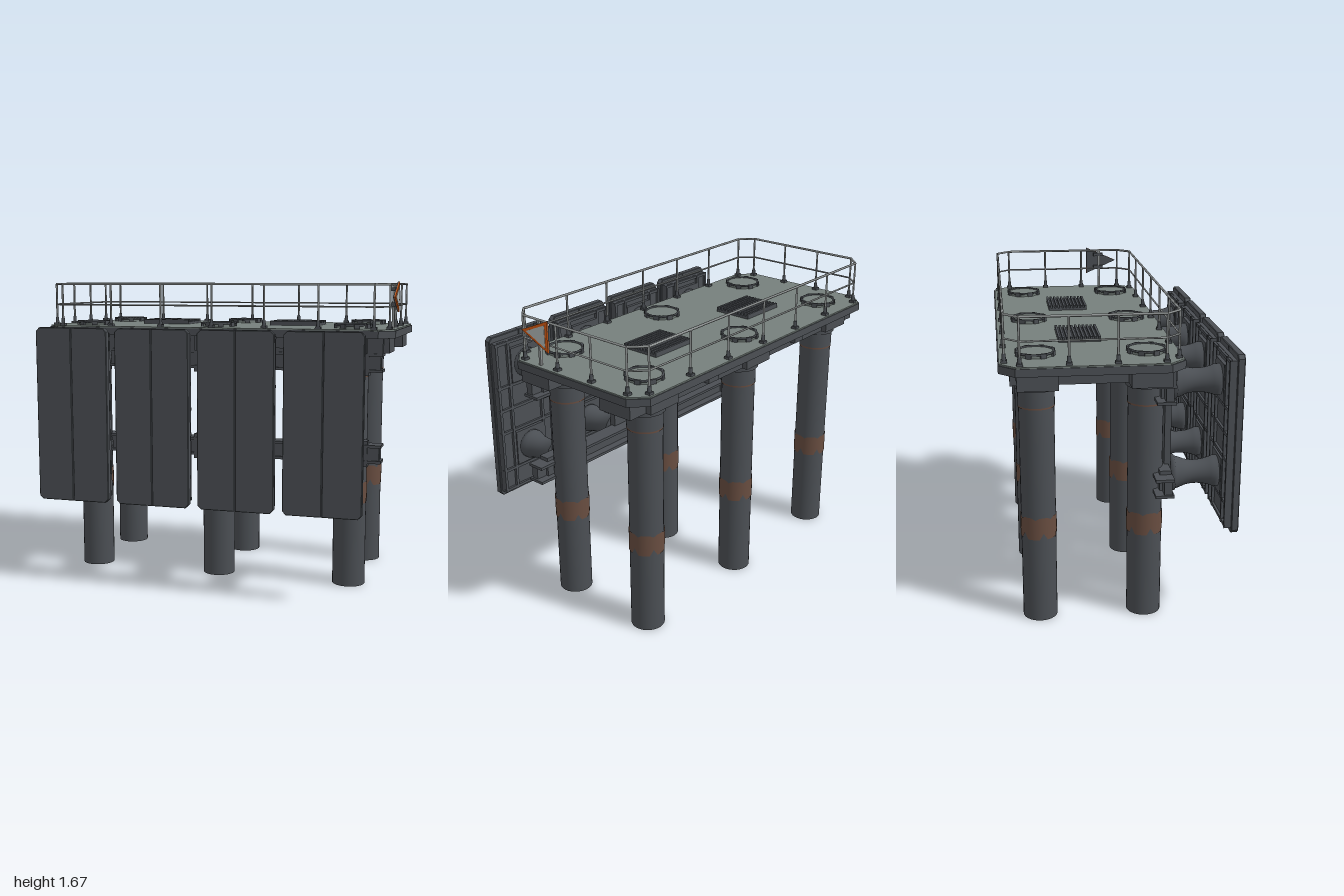
import * as THREE from 'three';

const mat = (name, color, side = THREE.FrontSide) => {
  const m = new THREE.MeshStandardMaterial({ color, side });
  m.name = name;
  return m;
};

export function createModel() {
  const steel = mat('dark steel', 0x4b4f54);
  const deckGreen = mat('deck grey green', 0x76807c);
  const railGrey = mat('rail grey', 0x909494);
  const rust = mat('rust brown', 0x684d40, THREE.DoubleSide);
  const orange = mat('sign orange', 0xd95c14);
  const pale = mat('sign pale grey', 0xb4bab9);

  const root = new THREE.Group();
  root.name = 'mooringPlatform';
  const group = (name, parent = root) => {
    const g = new THREE.Group();
    g.name = name;
    parent.add(g);
    return g;
  };
  const add = (parent, name, geo, material, x = 0, y = 0, z = 0) => {
    const m = new THREE.Mesh(geo, material);
    m.name = name;
    m.position.set(x, y, z);
    parent.add(m);
    return m;
  };
  // Box given by its limits
  const box = (parent, name, material, x0, x1, y0, y1, z0, z1) =>
    add(parent, name, new THREE.BoxGeometry(x1 - x0, y1 - y0, z1 - z0), material,
      (x0 + x1) / 2, (y0 + y1) / 2, (z0 + z1) / 2);
  // Round bar between two points
  const bar = (parent, name, a, b, r, material) => {
    const d = b.clone().sub(a);
    const m = add(parent, name, new THREE.CylinderGeometry(r, r, d.length(), 6), material);
    m.position.copy(a).addScaledVector(d, 0.5);
    m.quaternion.setFromUnitVectors(new THREE.Vector3(0, 1, 0), d.normalize());
  };
  // Rectangle with cut corners, as [x, z] points
  const octagon = (x, z0, z1, c) => [
    [x, z0 + c], [x, z1 - c], [x - c, z1], [-x + c, z1],
    [-x, z1 - c], [-x, z0 + c], [-x + c, z0], [x - c, z0]];
  const slab = (name, pts, y, h, materials) => {
    const s = new THREE.Shape(pts.map(([x, z]) => new THREE.Vector2(x, -z)));
    const geo = new THREE.ExtrudeGeometry(s, { depth: h, bevelEnabled: false });
    geo.rotateX(-Math.PI / 2);
    add(root, name, geo, materials, 0, y, 0);
  };

  // Deck: dark slab with a painted top
  slab('deckSlab', octagon(1, -0.605, 0.3, 0.08), 1.37, 0.04, steel);
  slab('deckSurface', octagon(0.995, -0.6, 0.295, 0.08), 1.41, 0.007, deckGreen);

  // Beams under the deck
  const pileX = [-0.757, 0, 0.757], pileZ = [0.13, -0.42];
  const beams = group('underDeckBeams');
  for (const z of pileZ) box(beams, 'longBeam', steel, -0.97, 0.97, 1.29, 1.37, z - 0.1, z + 0.1);
  for (const x of pileX) box(beams, 'crossBeam', steel, x - 0.1, x + 0.1, 1.288, 1.372, -0.55, 0.27);
  for (const x of [-0.38, 0.38]) box(beams, 'minorBeam', steel, x - 0.04, x + 0.04, 1.31, 1.372, -0.55, 0.27);

  // Piles with collars, rusty bands and deck hatches
  for (const x of pileX) for (const z of pileZ) {
    const p = group('pile');
    p.position.set(x, 0, z);
    add(p, 'pileShaft', new THREE.CylinderGeometry(0.09, 0.09, 1.3, 28), steel, 0, 0.65, 0);
    add(p, 'pileSleeve', new THREE.CylinderGeometry(0.093, 0.093, 0.14, 28), steel, 0, 1.23, 0);
    add(p, 'pileCollar', new THREE.CylinderGeometry(0.104, 0.104, 0.04, 12), steel, 0, 1.27, 0);
    add(p, 'sleeveRust', new THREE.CylinderGeometry(0.0935, 0.0935, 0.008, 28, 1, true), rust, 0, 1.162, 0);
    const band = new THREE.CylinderGeometry(0.0935, 0.0935, 0.115, 28, 1, true);
    const pos = band.attributes.position;
    for (let i = 0; i < pos.count; i++) {
      const k = i % 29 % 28;
      if (pos.getY(i) > 0) pos.setY(i, 0.062 - 0.012 * (k % 4 === 0));
      else pos.setY(i, -0.058 + 0.035 * (k % 5 === 2));
    }
    add(p, 'rustBand', band, rust, 0, 0.52, 0);
    // Hatch over the pile head
    add(p, 'hatchLid', new THREE.CylinderGeometry(0.09, 0.09, 0.018, 28), deckGreen, 0, 1.425, 0);
    const ring = add(p, 'hatchRing', new THREE.TorusGeometry(0.093, 0.006, 6, 28), steel, 0, 1.436, 0);
    ring.rotation.x = Math.PI / 2;
    for (let i = 0; i < 8; i++) {
      const a = (i + 0.5) * Math.PI / 4;
      const clip = add(p, 'hatchClip', new THREE.BoxGeometry(0.012, 0.024, 0.03), steel,
        0.095 * Math.cos(a), 1.43, 0.095 * Math.sin(a));
      clip.rotation.y = -a;
    }
  }

  // Slatted deck gratings
  for (const x of [-0.39, 0.385]) {
    const g = group('grating');
    box(g, 'gratingBase', steel, x - 0.14, x + 0.14, 1.415, 1.43, -0.29, -0.07);
    for (let i = 0; i < 11; i++)
      box(g, 'gratingSlat', steel, x - 0.14, x + 0.14, 1.43, 1.443, -0.29 + i * 0.0208, -0.278 + i * 0.0208);
  }

  // Guard rail around the deck edge
  const rail = group('guardRail');
  const line = octagon(0.965, -0.575, 0.27, 0.072);
  line.forEach(([x, z], i) => {
    const [x2, z2] = line[(i + 1) % 8];
    for (const [y, r] of [[1.652, 0.0065], [1.535, 0.005]])
      bar(rail, 'railBar', new THREE.Vector3(x, y, z), new THREE.Vector3(x2, y, z2), r, railGrey);
    const n = i % 2 ? 1 : i % 4 === 0 ? 3 : 6;
    for (let k = 0; k < n; k++) {
      const px = x + (x2 - x) * k / n, pz = z + (z2 - z) * k / n;
      bar(rail, 'railPost', new THREE.Vector3(px, 1.415, pz), new THREE.Vector3(px, 1.652, pz), 0.006, railGrey);
      box(rail, 'postFoot', steel, px - 0.015, px + 0.015, 1.415, 1.43, pz - 0.015, pz + 0.015);
      add(rail, 'postSocket', new THREE.CylinderGeometry(0.009, 0.011, 0.03, 8), steel, px, 1.445, pz);
    }
  });

  // Triangular warning sign on the left rail, pointing forward
  const sign = group('warningSign');
  const triangle = (name, s, depth, x, material) => {
    const cz = 0.062, cy = 1.585;
    const shape = new THREE.Shape([[-0.125, 0], [0.062, -0.082], [0.062, 0.082]]
      .map(([u, v]) => new THREE.Vector2(u * s - cz, v * s + cy)));
    const geo = new THREE.ExtrudeGeometry(shape, { depth, bevelEnabled: false });
    geo.rotateY(Math.PI / 2);
    add(sign, name, geo, material, x, 0, 0);
  };
  triangle('signBack', 1, 0.006, 0.977, steel);
  triangle('signBorder', 1, 0.006, 0.983, orange);
  triangle('signFace', 0.72, 0.003, 0.988, pale);
  box(sign, 'signPost', railGrey, 0.96, 0.974, 1.415, 1.65, 0.073, 0.087);
  for (const y of [1.545, 1.625]) box(sign, 'signClamp', steel, 0.955, 0.98, y - 0.01, y + 0.01, 0.045, 0.105);

  // Horizontal beams that carry the fenders
  const walers = group('fenderSupports');
  for (const y of [0.7, 1.19]) {
    box(walers, 'walerWeb', steel, -0.93, 0.93, y + 0.01, y + 0.09, 0.205, 0.245);
    for (const t of [0, 0.085]) box(walers, 'walerFlange', steel, -0.94, 0.94, y + t, y + t + 0.015, 0.16, 0.255);
    for (const x of pileX) box(walers, 'pileBracket', steel, x - 0.11, x + 0.11, y - 0.02, y + 0.12, 0.19, 0.25);
  }
  box(walers, 'upperFascia', steel, -0.94, 0.94, 1.28, 1.37, 0.2, 0.25);

  // Fenders: two rubber spools and a facing panel each
  const spool = [[0, 0], [0.096, 0], [0.096, 0.028], [0.086, 0.034], [0.08, 0.055], [0.068, 0.085], [0.062, 0.12],
    [0.062, 0.15], [0.066, 0.185], [0.074, 0.215], [0.082, 0.235], [0.082, 0.262], [0, 0.262]]
    .map(p => new THREE.Vector2(...p));
  const spoolGeo = new THREE.LatheGeometry(spool, 28);
  spoolGeo.rotateX(Math.PI / 2);
  const half = new THREE.Shape([[0.001, 0.47], [0.187, 0.47], [0.207, 0.49], [0.207, 1.4], [0.187, 1.42], [0.001, 1.42]]
    .map(p => new THREE.Vector2(...p)));
  const halfGeo = new THREE.ExtrudeGeometry(half,
    { depth: 0.03, bevelEnabled: true, bevelThickness: 0.004, bevelSize: 0.003, bevelOffset: -0.003, bevelSegments: 1 });
  for (const x of [-0.692, -0.231, 0.231, 0.692]) {
    const f = group('fender');
    f.position.x = x;
    box(f, 'mountPlate', steel, -0.075, 0.075, 0.74, 1.26, 0.228, 0.262);
    for (const y of [0.745, 1.243]) {
      add(f, 'rubberSpool', spoolGeo, steel, 0, y, 0.262);
      box(f, 'spoolPad', steel, -0.1, 0.1, y - 0.1, y + 0.1, 0.52, 0.54);
    }
    box(f, 'panelFrame', steel, -0.197, 0.197, 0.5, 1.39, 0.54, 0.565);
    for (const rx of [-0.19, -0.11, 0.11, 0.19])
      box(f, 'verticalRib', steel, rx - 0.008, rx + 0.008, 0.5, 1.39, 0.525, 0.541);
    for (const ry of [0.51, 0.63, 0.86, 0.995, 1.13, 1.38])
      box(f, 'horizontalRib', steel, -0.2, 0.2, ry - 0.008, ry + 0.008, 0.527, 0.541);
    for (const turn of [0, Math.PI]) {
      const m = add(f, 'facingPanel', halfGeo, steel, 0, 0, 0.566);
      if (turn) { // other half, turned about the panel centre
        m.rotation.z = turn;
        m.position.y = 1.89;
      }
    }
  }
  return root;
}
